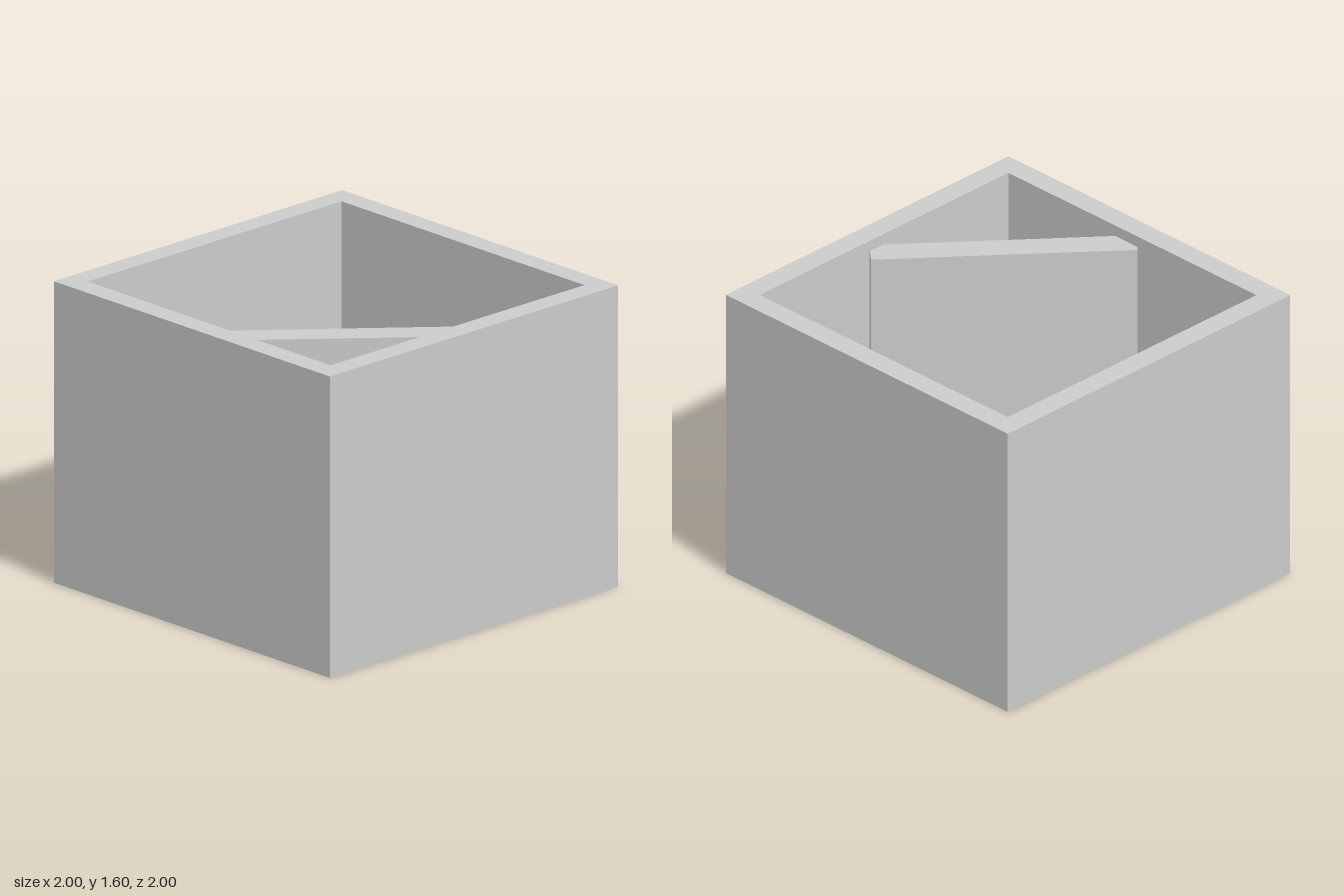
import * as THREE from 'three';

export function createModel() {
  const group = new THREE.Group();
  const material = new THREE.MeshStandardMaterial({ color: 0xcccccc, flatShading: true });

  const square = (Type, r) => new Type([
    new THREE.Vector2(-r, -r), new THREE.Vector2(r, -r),
    new THREE.Vector2(r, r), new THREE.Vector2(-r, r),
  ]);

  // Square tube of walls, open at top and bottom
  const outline = square(THREE.Shape, 1);
  outline.holes.push(square(THREE.Path, 0.88));
  const wallGeometry = new THREE.ExtrudeGeometry(outline, { depth: 1.6, bevelEnabled: false });
  wallGeometry.rotateX(-Math.PI / 2);
  const walls = new THREE.Mesh(wallGeometry, material);
  walls.name = 'walls';
  group.add(walls);

  // Diagonal panel across the front left corner, its ends sunk into the walls
  const bottom = 0.2, top = 1.54;
  const panel = new THREE.Mesh(new THREE.BoxGeometry(1.34, top - bottom, 0.15), material);
  panel.name = 'diagonalPanel';
  panel.position.set(0.435, (top + bottom) / 2, 0.4);
  panel.rotation.y = Math.atan2(1.016, 0.872);
  group.add(panel);

  return group;
}
